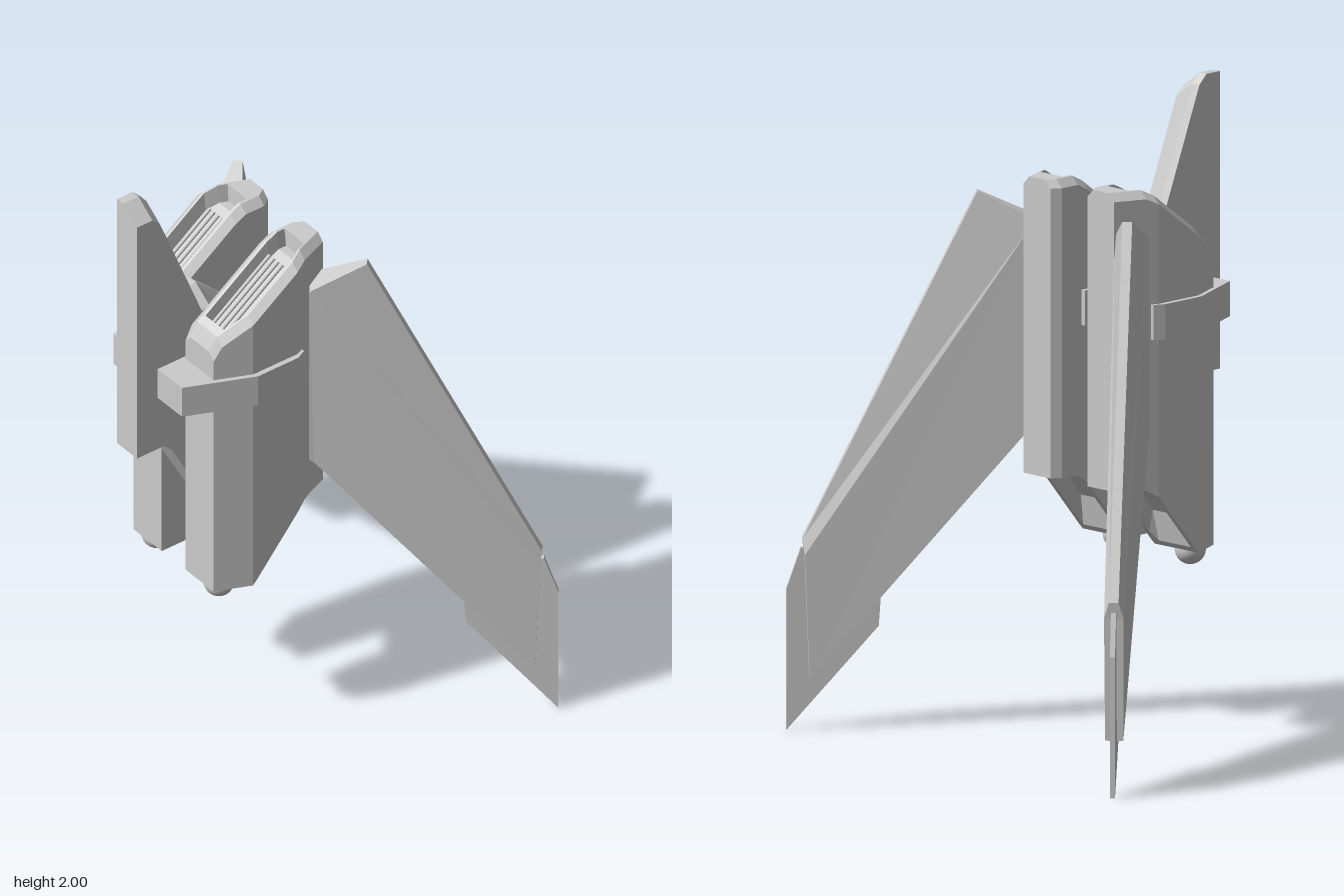
import * as THREE from 'three';

const material = new THREE.MeshStandardMaterial({ color: 0xcccccc, flatShading: true });
const smooth = new THREE.MeshStandardMaterial({ color: 0xcccccc });

// Piecewise linear curve through [x, value] pairs
function curve(pts) {
  return (x) => {
    if (x <= pts[0][0]) return pts[0][1];
    for (let i = 1; i < pts.length; i++) {
      const [x0, a] = pts[i - 1], [x1, b] = pts[i];
      if (x <= x1) return a + ((b - a) * (x - x0)) / (x1 - x0);
    }
    return pts[pts.length - 1][1];
  };
}

function fromTriangles(tris) {
  const g = new THREE.BufferGeometry();
  g.setAttribute('position', new THREE.Float32BufferAttribute(tris.flat(), 3));
  g.computeVertexNormals();
  return g;
}

// Skin closed loops of equal length, capped at both ends
function loft(loops) {
  const tris = [], n = loops[0].length;
  for (let i = 0; i < loops.length - 1; i++) {
    for (let j = 0; j < n; j++) {
      const k = (j + 1) % n;
      const a = loops[i][j], b = loops[i][k], c = loops[i + 1][k], d = loops[i + 1][j];
      tris.push(a, b, c, a, c, d);
    }
  }
  const cap = (loop, flip) => {
    const mid = [0, 1, 2].map((q) => loop.reduce((s, p) => s + p[q], 0) / n);
    loop.forEach((p, j) => {
      const next = loop[(j + 1) % n];
      tris.push(mid, flip ? next : p, flip ? p : next);
    });
  };
  cap(loops[0], true);
  cap(loops[loops.length - 1], false);
  return fromTriangles(tris);
}

// Convex clockwise outline of [x, y, half thickness], fanned from its first point
function plate(outline) {
  const tris = [], n = outline.length;
  const F = outline.map(([x, y, h]) => [x, y, h]);
  const B = outline.map(([x, y, h]) => [x, y, -h]);
  for (let k = 1; k < n - 1; k++) tris.push(F[0], F[k + 1], F[k], B[0], B[k], B[k + 1]);
  for (let k = 0; k < n; k++) {
    const m = (k + 1) % n;
    tris.push(F[k], F[m], B[m], F[k], B[m], B[k]);
  }
  return fromTriangles(tris);
}

// Copy reflected across z = 0 with its winding corrected
function mirrorZ(geometry) {
  const g = geometry.index ? geometry.toNonIndexed() : geometry.clone();
  g.scale(1, 1, -1);
  for (const attr of Object.values(g.attributes)) {
    const s = attr.itemSize, a = attr.array;
    for (let i = 0; i < attr.count; i += 3) {
      for (let q = 0; q < s; q++) {
        const u = (i + 1) * s + q, v = (i + 2) * s + q, t = a[u];
        a[u] = a[v];
        a[v] = t;
      }
    }
  }
  return g;
}

// Pod limits along x
const podTop = curve([[-0.385, 1.47], [-0.36, 1.52], [-0.1, 1.71], [-0.06, 1.73], [0.04, 1.73]]);
const podBottom = curve([[-0.385, 0.57], [-0.27, 0.57], [-0.1, 0.77], [-0.05, 0.8], [0.04, 0.8]]);
const podInner = curve([[-0.385, 0.06], [0.01, 0.06], [0.04, 0.08]]);
const podOuter = curve([[-0.385, 0.2], [-0.27, 0.25], [-0.1, 0.25], [0.04, 0.195]]);

// Pod with a recessed vent on top and a recessed nozzle below
function podGeometry() {
  // [x, top recess depth, bottom recess depth]
  const stations = [
    [-0.385, 0, 0], [-0.36, 0, 0], [-0.336, 0, 0], [-0.334, 0.06, 0], [-0.271, 0.06, 0],
    [-0.255, 0.06, 0], [-0.23, 0.06, 0.07], [-0.1, 0.06, 0.08], [-0.072, 0.06, 0.07],
    [-0.07, 0.06, 0], [-0.06, 0.06, 0], [-0.032, 0.06, 0], [-0.03, 0, 0], [0.01, 0, 0], [0.04, 0, 0],
  ];
  const c = 0.025;
  return loft(stations.map(([x, dt, db]) => {
    const t = podTop(x), b = podBottom(x), zi = podInner(x), zo = podOuter(x);
    const v0 = zi + 0.036, v1 = zo - 0.032, n0 = zi + 0.018, n1 = zo - 0.018;
    return [
      [b, zi], [t - c, zi], [t, zi + c], [t, v0], [t - dt, v0 + 0.008], [t - dt, v1 - 0.008],
      [t, v1], [t, zo - c], [t - c, zo], [b, zo],
      [b, n1], [b + db, n1 - 0.015], [b + db, n0 + 0.015], [b, n0],
    ].map(([y, z]) => [x, y, z]);
  }));
}

// Rod lying along the sloping vent
function ventBar(z) {
  const x0 = -0.325, x1 = -0.105, drop = 0.03;
  const path = new THREE.LineCurve3(
    new THREE.Vector3(x0, podTop(x0) - drop, z), new THREE.Vector3(x1, podTop(x1) - drop, z));
  return new THREE.TubeGeometry(path, 1, 0.006, 8);
}

// Strap around the outside of a pod
function strapGeometry() {
  const shape = new THREE.Shape([
    [-0.485, 0.045], [-0.075, 0.045], [-0.075, 0.25], [-0.11, 0.267], [-0.265, 0.267], [-0.485, 0.172],
  ].map((p) => new THREE.Vector2(...p)));
  return new THREE.ExtrudeGeometry(shape, { depth: 0.11, bevelEnabled: false })
    .rotateX(Math.PI / 2).translate(0, 1.375, 0);
}

// Wing parts are drawn flat, then swung out from the pod corner
const swing = (g) => g.rotateY(-0.705).translate(-0.01, 0, 0.22);

function wingGeometry() {
  return swing(plate([
    [-0.015, 1.59, 0.052], [0.16, 1.675, 0.015], [0.695, 0.6, 0.015], [0.69, 0.55, 0.03],
    [0.675, 0.165, 0.028], [0.0, 0.94, 0.05], [-0.015, 0.95, 0.052],
  ]));
}

function wingTipGeometry() {
  return swing(plate([
    [0.455, 0.42], [0.7, 0.57], [0.745, 0.44], [0.745, 0], [0.462, 0.32],
  ].map(([x, y]) => [x, y, 0.008])));
}

// Central fin, its upper edges sloping down toward +z
function finGeometry() {
  const shape = new THREE.Shape([
    [-0.565, 1.07], [-0.46, 1.07], [-0.43, 1.04], [-0.3, 0.8], [-0.19, 0.8], [-0.19, 1.49],
    [-0.285, 1.575], [-0.315, 1.57], [-0.475, 1.97], [-0.505, 2], [-0.565, 2],
  ].map((p) => new THREE.Vector2(...p)));
  const g = new THREE.ExtrudeGeometry(shape, { depth: 0.1, steps: 2, bevelEnabled: false });
  g.translate(0, 0, -0.05);
  const p = g.attributes.position;
  for (let i = 0; i < p.count; i++) {
    const x = p.getX(i), y = p.getY(i), z = p.getZ(i);
    if (Math.abs(z) < 0.01) p.setZ(i, -0.02);
    if (z > 0.04 && y > 1.4) p.setY(i, y - 0.05);
    if (x > -0.2 && Math.abs(z) > 0.04) p.setZ(i, z * 0.65);
  }
  g.computeVertexNormals();
  return g;
}

export function createModel() {
  const model = new THREE.Group();
  const add = (name, geometry, mat = material) => {
    const mesh = new THREE.Mesh(geometry, mat);
    mesh.name = name;
    model.add(mesh);
  };
  const addPair = (name, geometry, mat) => {
    add(name + 'Front', geometry, mat);
    add(name + 'Back', mirrorZ(geometry), mat);
  };

  add('centralFin', finGeometry());
  addPair('pod', podGeometry());
  addPair('strap', strapGeometry());
  addPair('wing', wingGeometry());
  addPair('wingTip', wingTipGeometry());
  addPair('nozzleBall', new THREE.SphereGeometry(0.048, 24, 16).translate(-0.33, 0.56, 0.155), smooth);
  [0.118, 0.139, 0.16, 0.181].forEach((z, i) => addPair('ventBar' + (i + 1), ventBar(z), smooth));

  return model;
}
